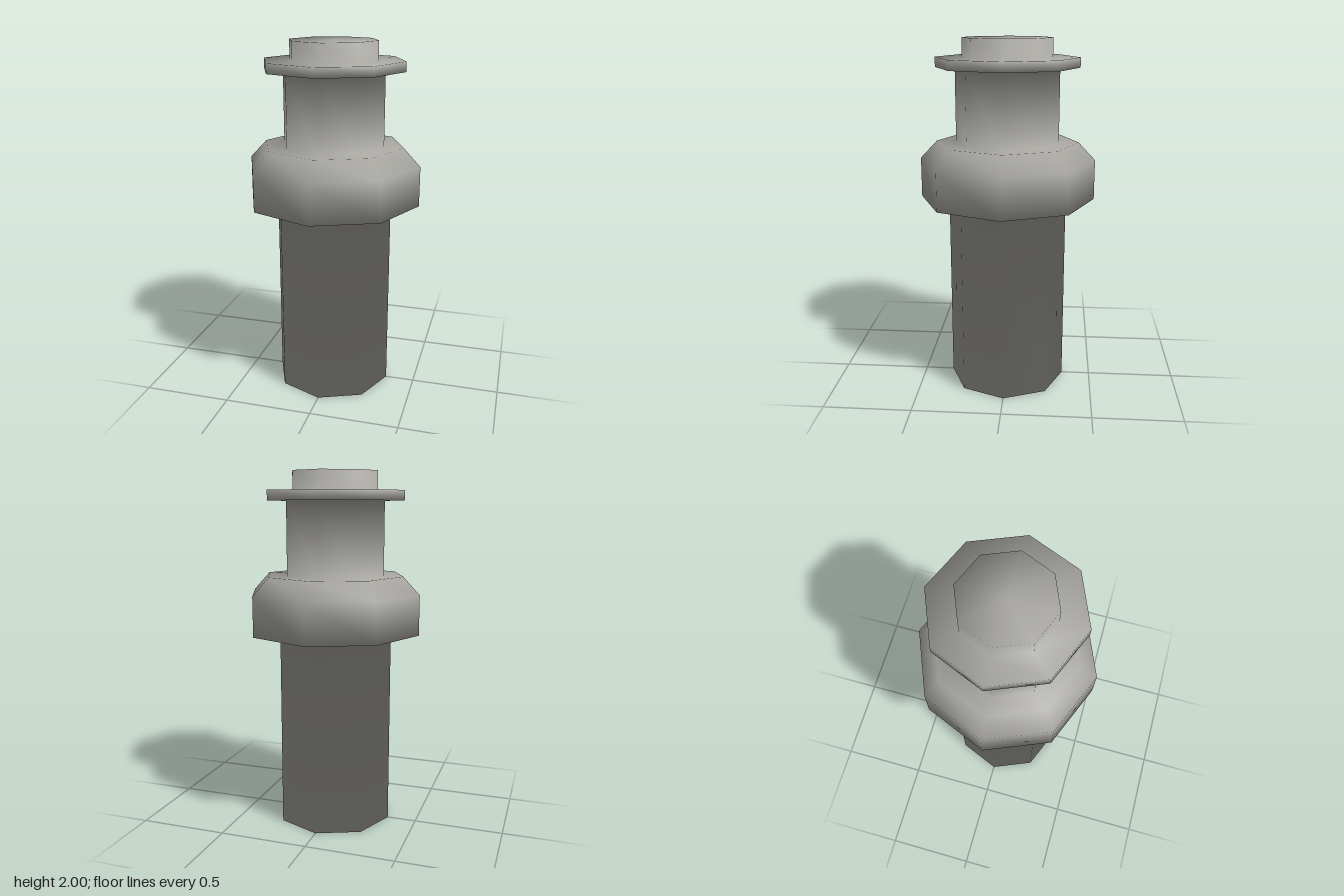
import * as THREE from 'three';

const SIDES = 8;

// Outline from the bottom centre to the top centre: [radius, height]
const PROFILE = [
  [0, 0], [0.335, 0],          // base
  [0.335, 1.105],              // shaft top
  [0.495, 1.105], [0.495, 1.33], [0.4, 1.43], // collar
  [0.29, 1.43], [0.29, 1.84],  // neck
  [0.4, 1.84], [0.4, 1.895],   // flange
  [0.25, 1.895], [0.25, 2], [0, 2], // cap
].map(([r, y]) => new THREE.Vector2(r, y));

// Parts as ranges of the outline
const PARTS = { shaft: [0, 2], collar: [2, 6], neck: [6, 7], flange: [7, 10], cap: [10, 12] };

// Smooth outline normal, weighted by the corner angles of the faces that meet
function profileNormal(i) {
  const half = Math.PI / SIDES;
  const p = PROFILE[i];
  const n = new THREE.Vector2();
  for (const step of [-1, 1]) {
    const q = PROFILE[i + step];
    if (!q) continue;
    const d = q.clone().sub(p).normalize();
    const angle = Math.acos(-d.x * Math.sin(half));
    n.x += step * d.y * Math.cos(half) * angle;
    n.y -= step * d.x * angle;
  }
  return n.normalize();
}

// Eight-sided ring part, smooth across its neighbours
function makePart(name, [from, to], material) {
  const points = PROFILE.slice(from, to + 1);
  const geometry = new THREE.LatheGeometry(points, SIDES);
  const normals = points.map((_, k) => profileNormal(from + k));
  const attribute = geometry.attributes.normal;
  for (let i = 0; i < attribute.count; i++) {
    const n = normals[i % points.length];
    const a = (Math.floor(i / points.length) / SIDES) * Math.PI * 2;
    attribute.setXYZ(i, n.x * Math.sin(a), n.y, n.x * Math.cos(a));
  }
  const mesh = new THREE.Mesh(geometry, material);
  mesh.name = name;
  return mesh;
}

export function createModel() {
  const group = new THREE.Group();
  group.name = 'steppedPost';
  const stone = new THREE.MeshStandardMaterial({ color: 0xa5a49f });
  stone.name = 'warmGrey';
  for (const [name, range] of Object.entries(PARTS)) group.add(makePart(name, range, stone));
  return group;
}
